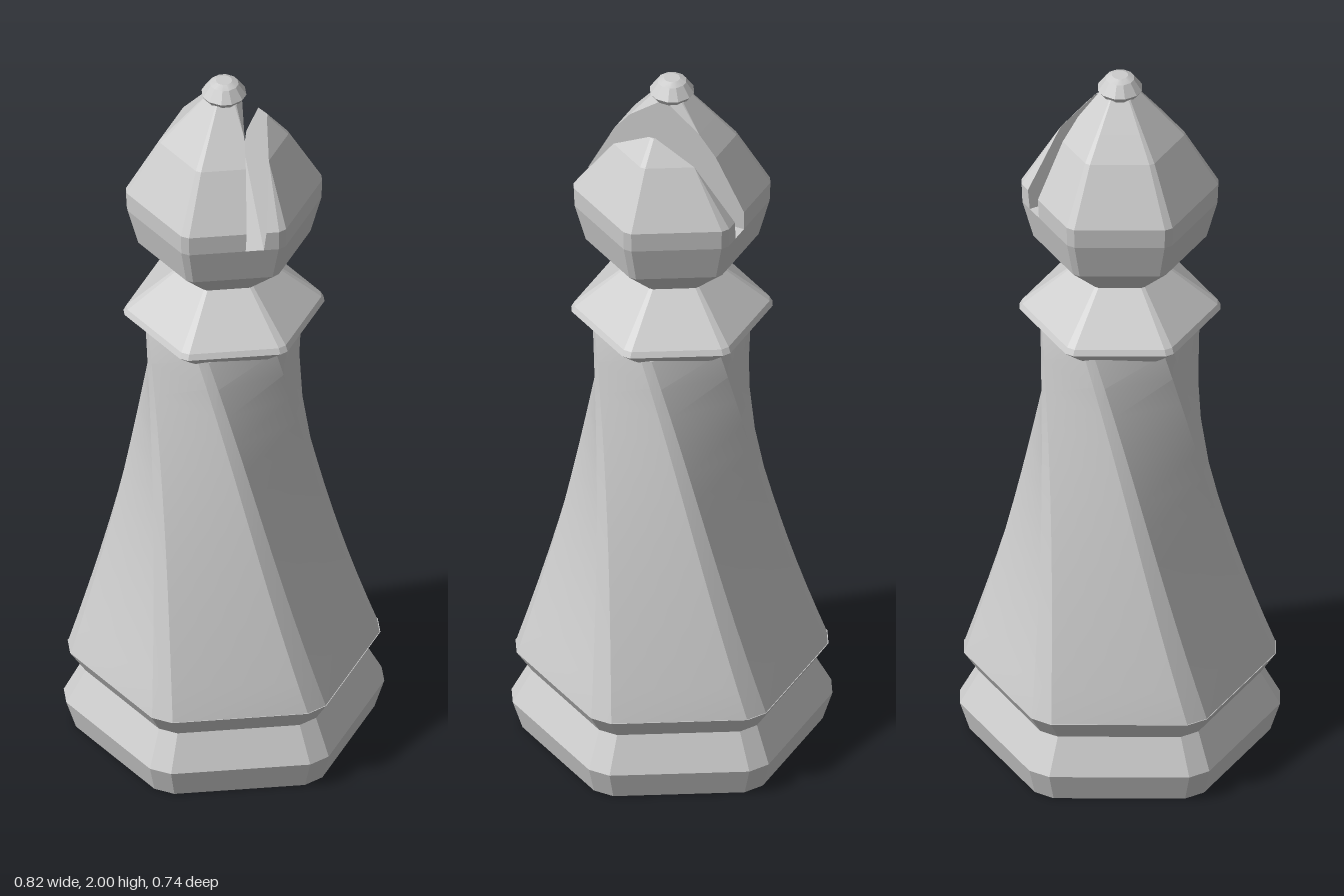
import * as THREE from 'three';
import { toCreasedNormals } from 'three/addons/utils/BufferGeometryUtils.js';
import { ConvexGeometry } from 'three/addons/geometries/ConvexGeometry.js';

const CHAMFER = 0.08;

// Hexagon with chamfered corners; r is its half width along x
function hexRing(r, y, turn = 0, chamfer = CHAMFER) {
  const R = r / (1 - chamfer / 2);
  const corner = (k) => {
    const a = (k * Math.PI) / 3 + turn;
    return new THREE.Vector3(R * Math.cos(a), y, R * Math.sin(a));
  };
  const points = [];
  for (let k = 0; k < 6; k++) {
    points.push(corner(k).lerp(corner(k - 1), chamfer), corner(k).lerp(corner(k + 1), chamfer));
  }
  return points;
}

// Closed skin through a stack of rings, with both ends capped
function loft(rings) {
  const pos = [];
  const tri = (...pts) => pts.forEach((p) => pos.push(p.x, p.y, p.z));
  const n = rings[0].length;
  const middle = (ring) => new THREE.Vector3(0, ring[0].y, 0);
  const last = rings[rings.length - 1];
  for (let j = 0; j < n; j++) {
    const k = (j + 1) % n;
    for (let i = 0; i < rings.length - 1; i++) {
      const a = rings[i], b = rings[i + 1];
      tri(a[j], b[j], a[k]);
      tri(a[k], b[j], b[k]);
    }
    tri(middle(rings[0]), rings[0][j], rings[0][k]);
    tri(middle(last), last[k], last[j]);
  }
  const g = new THREE.BufferGeometry();
  g.setAttribute('position', new THREE.Float32BufferAttribute(pos, 3));
  g.computeVertexNormals();
  return toCreasedNormals(g, 0.3);
}

// Part of a ring on one side of the plane x = cut
function clipRing(ring, cut, side) {
  const out = [];
  ring.forEach((p, i) => {
    const q = ring[(i + 1) % ring.length];
    const dp = (p.x - cut) * side, dq = (q.x - cut) * side;
    if (dp >= 0) out.push(p);
    if (dp * dq < 0) out.push(p.clone().lerp(q, dp / (dp - dq)));
  });
  return out;
}

export function createModel() {
  const group = new THREE.Group();
  const stone = new THREE.MeshStandardMaterial({ color: 0xcccccc });
  stone.name = 'pale grey';
  const add = (name, geometry) => {
    const mesh = new THREE.Mesh(geometry, stone);
    mesh.name = name;
    group.add(mesh);
  };
  const stack = (profile, chamfer) => loft(profile.map(([r, y]) => hexRing(r, y, 0, chamfer)));

  // Stepped foot
  add('base', stack([[0.385, 0], [0.41, 0.08], [0.36, 0.175], [0.4, 0.235]]));

  // Shaft: the corners run nearly straight from the foot to a turned, narrower top
  const twist = THREE.MathUtils.degToRad(52);
  const bottom = hexRing(0.398, 0.235), top = hexRing(0.204, 1.25, twist);
  const shaftRings = [];
  const steps = 12;
  for (let i = 0; i <= steps; i++) {
    const t = i / steps;
    const bow = 1 - 0.06 * Math.sin(Math.PI * t);
    shaftRings.push(bottom.map((p, j) => p.clone().lerp(top[j], t).multiply(new THREE.Vector3(bow, 1, bow))));
  }
  add('shaft', loft(shaftRings));

  // Collar
  add('collar', stack([[0.2, 1.235], [0.258, 1.285], [0.25, 1.3], [0.11, 1.42]], 0.05));

  // Head: whole below the slot, two lobes above it
  const headLower = [[0.11, 1.405], [0.222, 1.51], [0.25, 1.615]];
  const headUpper = [[0.25, 1.615], [0.252, 1.67], [0.165, 1.82], [0.112, 1.88], [0.05, 1.95]];
  add('headBase', stack(headLower, 0.05));
  const lobe = (x0, x1, side) => new ConvexGeometry(headUpper.flatMap(([r, y]) =>
    clipRing(hexRing(r, y, 0, 0.05), THREE.MathUtils.mapLinear(y, 1.615, 1.95, x0, x1), side)));
  add('rightLobe', lobe(0.03, 0.045, -1));
  add('leftLobe', lobe(0.077, 0.118, 1));

  // Finial knob
  add('knob', stack([[0.035, 1.93], [0.056, 1.962], [0.036, 1.992], [0.02, 2]], 0.3));

  return group;
}
